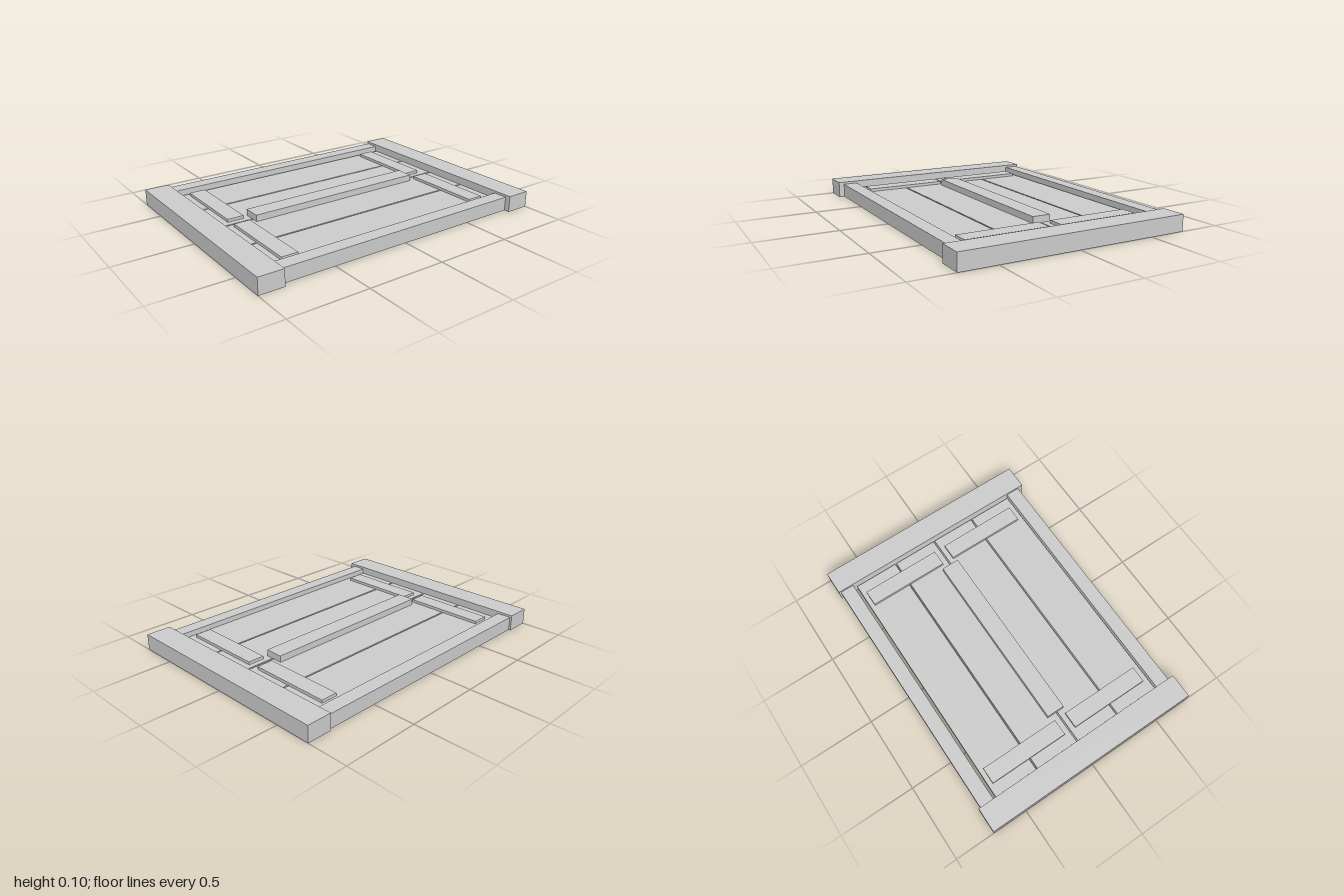
import * as THREE from 'three';

export function createModel() {
  const model = new THREE.Group();
  const material = new THREE.MeshStandardMaterial({ color: 0xcccccc, flatShading: true });

  // Timber given by its extents along x, y and z
  function timber(name, [x0, x1], [y0, y1], [z0, z1]) {
    const mesh = new THREE.Mesh(new THREE.BoxGeometry(x1 - x0, y1 - y0, z1 - z0), material);
    mesh.position.set((x0 + x1) / 2, (y0 + y1) / 2, (z0 + z1) / 2);
    mesh.name = name;
    model.add(mesh);
  }

  // Frame: two tall side rails joined by lower cross beams
  timber('leftRail', [0.84, 1], [0, 0.105], [-0.735, 0.735]);
  timber('rightRail', [-1, -0.84], [0, 0.105], [-0.735, 0.735]);
  timber('backBeam', [-0.84, 0.84], [0, 0.09], [-0.722, -0.63]);
  timber('frontBeam', [-0.84, 0.84], [0, 0.09], [0.608, 0.7]);

  // Four recessed planks with narrow gaps
  for (let i = 0; i < 4; i++) {
    const z = -0.61 + i * 0.306;
    timber(`plank${i + 1}`, [-0.835, 0.833], [0, 0.058], [z, z + 0.296]);
  }

  // Battens lying across pairs of planks at each side
  for (const [side, x] of [['Right', [-0.76, -0.653]], ['Left', [0.647, 0.754]]]) {
    timber(`back${side}Batten`, x, [0.058, 0.077], [-0.58, -0.045]);
    timber(`front${side}Batten`, x, [0.058, 0.077], [0.035, 0.568]);
  }

  // Thicker bar covering the middle joint
  timber('middleBar', [-0.615, 0.605], [0.058, 0.1], [-0.072, 0.046]);

  return model;
}
